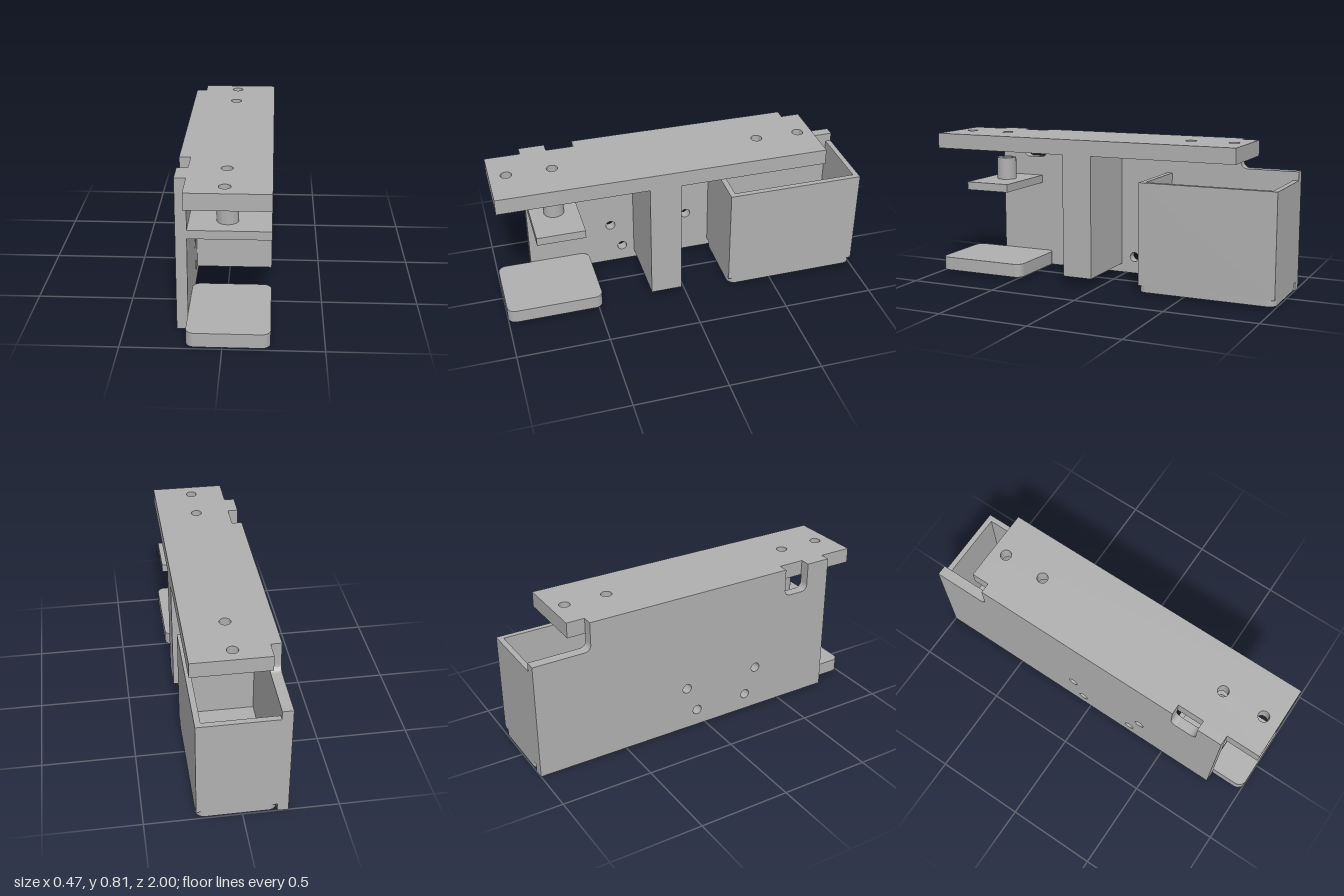
import * as THREE from 'three';
import { toCreasedNormals } from 'three/addons/utils/BufferGeometryUtils.js';

const L = -0.235, W = -0.178, R = 0.235; // outer side, inner wall face, open side
const HOLE_X = 0.012, HOLE_R = 0.03;

export function createModel() {
  const group = new THREE.Group();
  const grey = new THREE.MeshStandardMaterial({ color: 0xb0b0b0 });
  grey.name = 'grey';

  const add = (name, geometry) => {
    const mesh = new THREE.Mesh(geometry, grey);
    mesh.name = name;
    group.add(mesh);
  };
  const extrude = (shape, depth) =>
    new THREE.ExtrudeGeometry(shape, { depth, bevelEnabled: false, curveSegments: 16 });

  // Shape drawn in (x, -z), raised from y0 to y1
  const slab = (name, shape, y0, y1) => {
    const g = extrude(shape, y1 - y0).rotateX(-Math.PI / 2).translate(0, y0, 0);
    add(name, toCreasedNormals(g, 0.6));
  };
  const block = (name, x0, x1, y0, y1, z0, z1) =>
    add(name, new THREE.BoxGeometry(x1 - x0, y1 - y0, z1 - z0)
      .translate((x0 + x1) / 2, (y0 + y1) / 2, (z0 + z1) / 2));
  const punch = (shape, u, v, r) => {
    shape.holes.push(new THREE.Path().absarc(u, v, r, 0, Math.PI * 2, true));
  };

  // Rectangle from z0 to z1 with optional rounded corners and round holes
  const plate = (z0, z1, r, holeZs) => {
    const s = new THREE.Shape();
    const a = -z1, b = -z0;
    if (r > 0) {
      s.absarc(R - r, a + r, r, -Math.PI / 2, 0);
      s.absarc(R - r, b - r, r, 0, Math.PI / 2);
      s.absarc(W + r, b - r, r, Math.PI / 2, Math.PI);
      s.absarc(W + r, a + r, r, Math.PI, Math.PI * 1.5);
      s.closePath();
    } else {
      s.moveTo(W, a).lineTo(R, a).lineTo(R, b).lineTo(W, b).closePath();
    }
    holeZs.forEach((z) => punch(s, HOLE_X, -z, HOLE_R));
    return s;
  };

  // Side wall in (-z, y), with a front slot and a cut-down back
  const f = 0.035;
  const wall = new THREE.Shape();
  wall.moveTo(-0.81, 0).lineTo(1, 0).lineTo(1, 0.65).lineTo(0.68 + f, 0.65);
  wall.absarc(0.68 + f, 0.65 + f, f, -Math.PI / 2, -Math.PI, true);
  wall.lineTo(0.68, 0.81).lineTo(-0.52, 0.81).lineTo(-0.52, 0.65 + f);
  wall.absarc(-0.52 - f, 0.65 + f, f, 0, -Math.PI / 2, true);
  wall.lineTo(-0.67 + f, 0.65);
  wall.absarc(-0.67 + f, 0.65 + f, f, -Math.PI / 2, -Math.PI, true);
  wall.lineTo(-0.67, 0.81).lineTo(-0.81, 0.81).closePath();
  [[0.335, 0.25], [0.27, 0.095], [-0.115, 0.25], [-0.05, 0.095]]
    .forEach(([z, y]) => punch(wall, -z, y, 0.027));
  add('sideWall', toCreasedNormals(
    extrude(wall, W - L).rotateY(Math.PI / 2).translate(L, 0, 0), 0.6));

  // Top plate with four through holes
  slab('topPlate', plate(-0.78, 1, 0, [-0.7, -0.46, 0.67, 0.91]), 0.725, 0.81);

  // Central rib
  block('centralRib', W, R, 0.05, 0.725, 0.03, 0.2);

  // Front foot, with blind holes underneath
  slab('frontFootBase', plate(0.475, 1, 0.045, [0.67, 0.91]), 0.01, 0.05);
  slab('frontFootTop', plate(0.475, 1, 0.045, []), 0.05, 0.085);

  // Small shelf and hollow boss
  slab('shelf', plate(0.55, 0.81, 0, [0.675]), 0.495, 0.54);
  const boss = new THREE.Shape().absarc(0.015, -0.68, 0.055, 0, Math.PI * 2);
  punch(boss, HOLE_X, -0.675, HOLE_R);
  slab('boss', boss, 0.54, 0.665);

  // Open back box: three walls, a floor and a rounded foot with blind holes
  const t = 0.03;
  const walls = new THREE.Shape();
  walls.moveTo(W, 0.25).lineTo(R, 0.25).lineTo(R, 1).lineTo(W, 1).lineTo(W, 1 - t)
    .lineTo(R - t, 1 - t).lineTo(R - t, 0.25 + t).lineTo(W, 0.25 + t).closePath();
  slab('boxWalls', walls, 0.045, 0.602);
  block('boxFloor', W, R - t, 0.045, 0.085, -1 + t, -0.25 - t);
  slab('boxFoot', plate(-1, -0.25, 0.045, [-0.7, -0.46]), 0.01, 0.045);

  return group;
}
